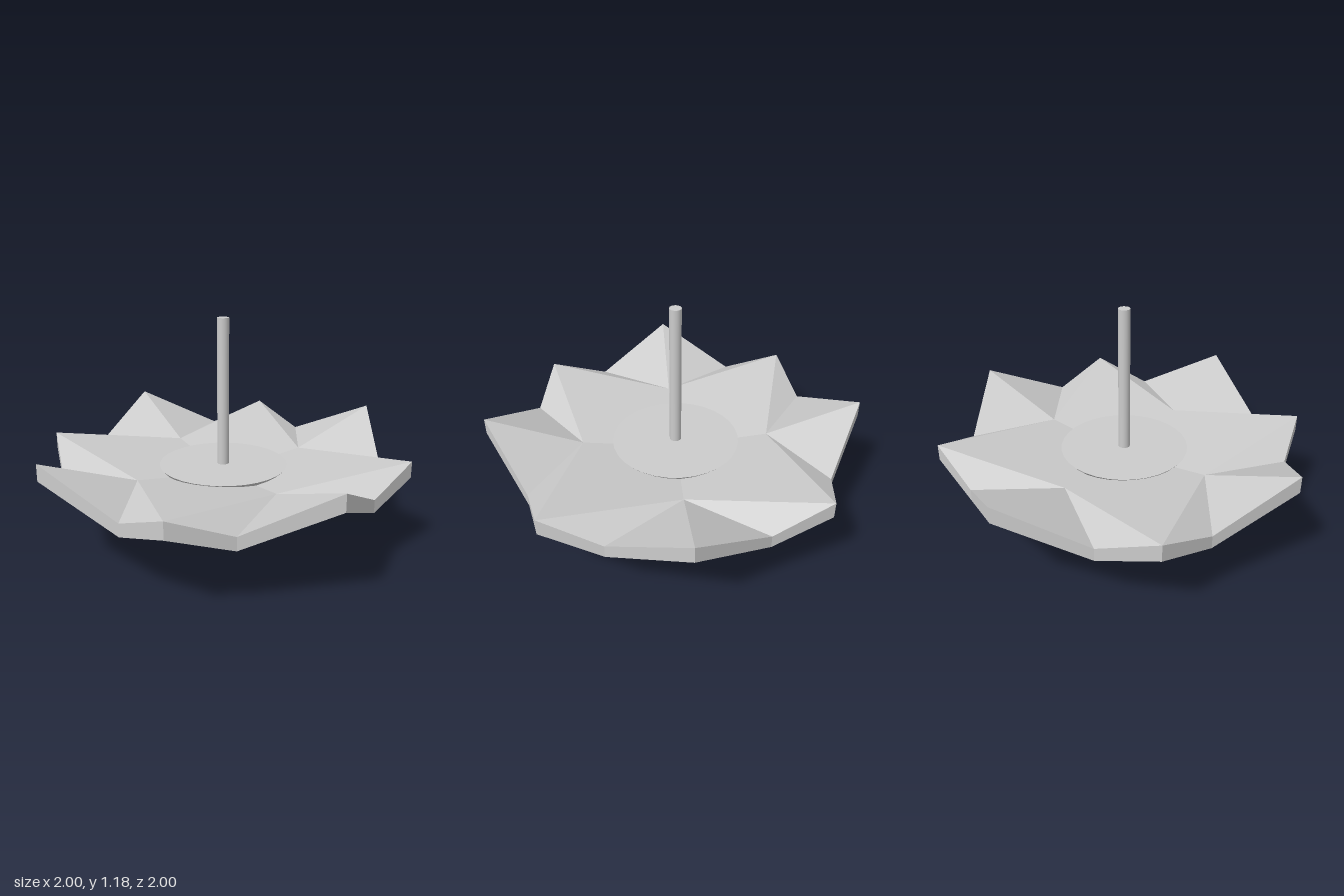
import * as THREE from 'three';

const material = new THREE.MeshStandardMaterial({ color: 0xcccccc });
const flat = new THREE.MeshStandardMaterial({ color: 0xcccccc, flatShading: true });

// Each point is [x, topY, bottomY, z]; one quarter repeats four times.
const CENTER = [0, 0.345, 0.26, 0];
const INNER = [0.5, 0.4, 0.314, 0];
const RIM = [
  [1, 0.58, 0.494, 0], // long tip
  [0.763, 0.38, 0.313, 0.385], // notch
  [0.69, 0.495, 0.409, 0.69], // diagonal tip
  [0.385, 0.38, 0.313, 0.763], // notch
];

function quarterTurn([x, t, b, z], n) {
  for (let i = 0; i < n; i++) [x, z] = [-z, x];
  return [x, t, b, z];
}

function petalDish() {
  const pos = [];
  const top = (p) => [p[0], p[1], p[3]];
  const bottom = (p) => [p[0], p[2], p[3]];
  const layer = (a, b, c) => {
    pos.push(...top(a), ...top(b), ...top(c));
    pos.push(...bottom(a), ...bottom(c), ...bottom(b));
  };
  for (let q = 0; q < 4; q++) {
    const i0 = quarterTurn(INNER, q);
    const i1 = quarterTurn(INNER, q + 1);
    const rim = RIM.map((p) => quarterTurn(p, q));
    rim.push(quarterTurn(RIM[0], q + 1));
    // sloping floor of the bowl
    layer(CENTER, i1, i0);
    layer(i0, i1, rim[2]);
    // folded petals and rim wall
    for (let k = 0; k < 4; k++) {
      const a = rim[k], b = rim[k + 1];
      layer(k < 2 ? i0 : i1, b, a);
      pos.push(...top(a), ...top(b), ...bottom(a));
      pos.push(...top(b), ...bottom(b), ...bottom(a));
    }
  }
  const geometry = new THREE.BufferGeometry();
  geometry.setAttribute('position', new THREE.Float32BufferAttribute(pos, 3));
  geometry.computeVertexNormals();
  return geometry;
}

export function createModel() {
  const model = new THREE.Group();
  const add = (name, geometry, mat, y = 0) => {
    const mesh = new THREE.Mesh(geometry, mat);
    mesh.name = name;
    mesh.position.y = y;
    model.add(mesh);
  };

  add('petalDish', petalDish(), flat);

  // Downward cone whose flat cap fills the bottom of the dish
  const cone = new THREE.ConeGeometry(0.34, 0.402, 32);
  cone.rotateX(Math.PI);
  add('bottomPoint', cone, material, 0.201);

  // Upright spindle
  add('spindle', new THREE.CylinderGeometry(0.031, 0.031, 0.79, 24), material, 0.785);

  return model;
}
